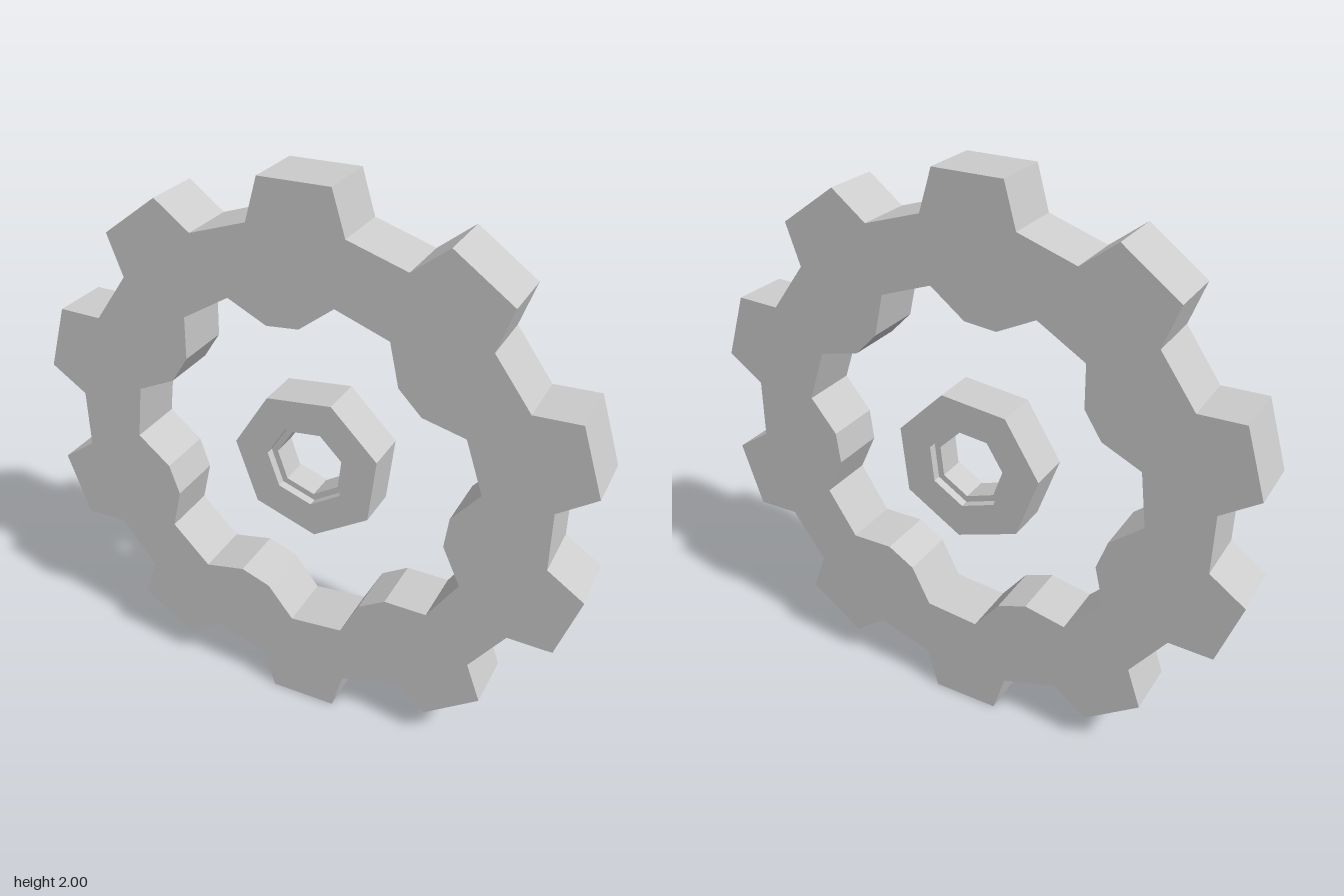
import * as THREE from 'three';

const DEG = Math.PI / 180;
const material = new THREE.MeshStandardMaterial({ color: 0xcccccc, flatShading: true });

const polar = (r, deg) => new THREE.Vector2(r * Math.cos(deg * DEG), r * Math.sin(deg * DEG));

// Toothed outline: each tooth has two base corners and two tip corners
function toothed(count, phase, baseR, baseHalf, tipR, tipHalf) {
  const points = [];
  for (let i = 0; i < count; i++) {
    const a = phase + (i * 360) / count;
    points.push(polar(baseR, a - baseHalf), polar(tipR, a - tipHalf),
      polar(tipR, a + tipHalf), polar(baseR, a + baseHalf));
  }
  return points;
}

function polygon(count, phase, r) {
  return Array.from({ length: count }, (_, i) => polar(r, phase + (i * 360) / count));
}

// Flat plate with one hole, spanning z0 to z1
function plate(name, outer, inner, z0, z1) {
  const shape = new THREE.Shape(outer);
  shape.holes.push(new THREE.Path(inner));
  const geometry = new THREE.ExtrudeGeometry(shape, { depth: z1 - z0, bevelEnabled: false });
  geometry.translate(0, 1, z0);
  const mesh = new THREE.Mesh(geometry, material);
  mesh.name = name;
  return mesh;
}

export function createModel() {
  const group = new THREE.Group();
  group.name = 'gear';

  // Outer ring: ten teeth outside, seven-lobed opening inside
  group.add(plate('toothedRing',
    toothed(10, 90.6, 0.866, 11, 1.005, 6.95),
    toothed(7, 70.1, 0.535, 19.6, 0.64, 8.8), -0.105, 0.105));

  // Seven-sided hub, flush with the back of the ring
  const phase = 70.7, back = -0.105, front = 0.052, step = 0.03;
  const outer = polygon(7, phase, 0.272);
  const wide = polygon(7, phase, 0.148);
  const narrow = polygon(7, phase, 0.124);
  group.add(plate('hub', outer, wide, back, front));

  // Narrower sleeve inside the bore, set in from both ends
  group.add(plate('boreSleeve', wide, narrow, back + step, front - step));

  return group;
}
